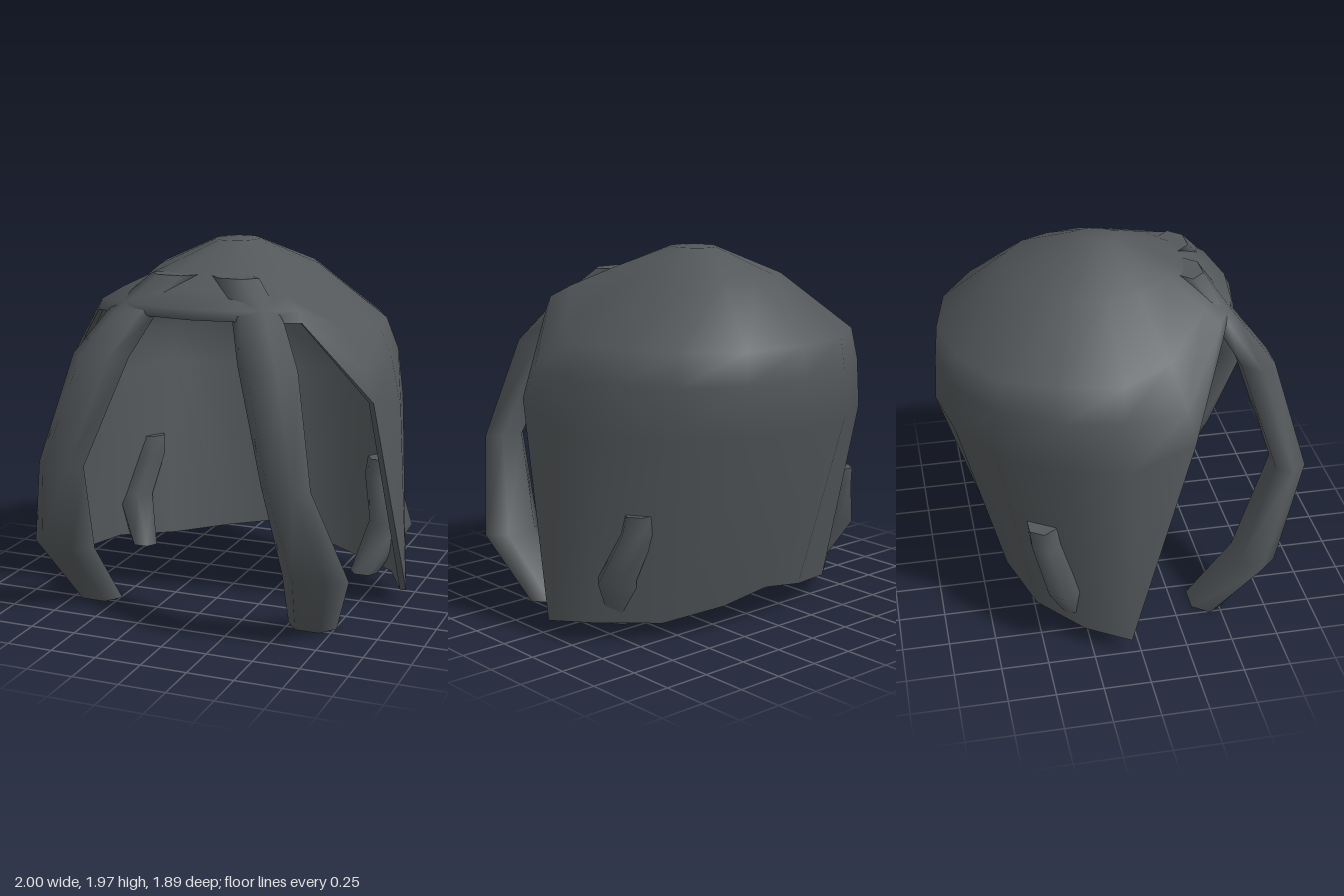
import * as THREE from 'three';
import { mergeVertices, mergeGeometries } from 'three/addons/utils/BufferGeometryUtils.js';

const shellGrey = new THREE.MeshStandardMaterial({ color: 0x53575a });

// Smooth geometry from a list of triangles, leaving out collapsed ones
function surface(triangles) {
  const positions = [];
  for (const [a, b, c] of triangles) {
    const n = b.clone().sub(a).cross(c.clone().sub(a));
    if (n.length() > 1e-7) for (const p of [a, b, c]) positions.push(p.x, p.y, p.z);
  }
  let geo = new THREE.BufferGeometry();
  geo.setAttribute('position', new THREE.Float32BufferAttribute(positions, 3));
  geo = mergeVertices(geo, 1e-4);
  geo.computeVertexNormals();
  return geo;
}

// Ribs of the left half, from the back round to the brow, each crown to rim
const ribs = [
  [[0, 1.97, -.2], [0, 1.83, -.55], [0, 1.53, -.91], [0, 1.36, -.925], [0, 1.1, -.94], [0, .19, -.65]],
  [[.05, 1.97, -.19], [.19, 1.83, -.51], [.34, 1.53, -.84], [.35, 1.36, -.86], [.35, 1.1, -.87], [.28, .14, -.62]],
  [[.09, 1.97, -.15], [.33, 1.83, -.4], [.62, 1.53, -.66], [.65, 1.36, -.68], [.66, 1.1, -.69], [.6, .09, -.5]],
  [[.11, 1.97, -.11], [.4, 1.83, -.25], [.76, 1.53, -.38], [.83, 1.36, -.38], [.87, 1.1, -.36], [.88, .1, -.28]],
  [[.12, 1.97, -.07], [.43, 1.83, -.07], [.81, 1.53, -.07], [.88, 1.37, -.07], [.94, 1.1, -.06], [1, .08, -.05]],
  [[.1, 1.97, 0], [.39, 1.83, .1], [.68, 1.57, .2], [.83, 1.36, .26], [.89, 1.2, .29]],
  [[.06, 1.97, .05], [.27, 1.85, .27], [.46, 1.75, .42], [.55, 1.69, .49], [.57, 1.63, .5]],
  [[.04, 1.97, .06], [.14, 1.86, .33], [.24, 1.76, .5], [.3, 1.69, .61], [.31, 1.63, .58]],
  [[0, 1.97, .06], [0, 1.86, .35], [0, 1.77, .52], [0, 1.69, .65], [0, 1.63, .62]],
];

// Outer skin, inner skin and the rim between them
function shellGeometry() {
  const half = ribs.map(rib => {
    const points = [[0, 1.97, -.07], ...rib];
    while (points.length < 7) points.push(points[points.length - 1]);
    return points.map(p => new THREE.Vector3(...p));
  });
  const mirrored = half.slice(1, -1).reverse()
    .map(rib => rib.map(p => new THREE.Vector3(-p.x, p.y, p.z)));
  const outer = [...half, ...mirrored];
  const inner = outer.map(rib => rib.map(p => new THREE.Vector3(
    p.x * .965, p.y > 1.7 ? p.y - .03 : p.y, -.07 + (p.z + .07) * .96)));

  const skin = (grid, flip) => {
    const tris = [];
    grid.forEach((rib, i) => {
      const next = grid[(i + 1) % grid.length];
      for (let j = 0; j < rib.length - 1; j++) {
        tris.push([rib[j], next[j], next[j + 1]], [rib[j], next[j + 1], rib[j + 1]]);
      }
    });
    return surface(flip ? tris.map(t => t.reverse()) : tris);
  };
  const rim = [];
  outer.forEach((rib, i) => {
    const k = (i + 1) % outer.length;
    rim.push([rib[6], outer[k][6], inner[i][6]], [outer[k][6], inner[k][6], inner[i][6]]);
  });
  return mergeGeometries([skin(outer, false), skin(inner, true), surface(rim)]);
}

// Six-sided tube through level sections [x, y, z, halfWidth, halfDepth], top to bottom
function tubeGeometry(sections, side) {
  const rings = sections.map(([x, y, z, w, d]) => Array.from({ length: 6 }, (_, k) => {
    const a = k * Math.PI / 3;
    return new THREE.Vector3(side * x + w * Math.cos(a), y, z + d * Math.sin(a) / .866);
  }));
  const walls = [], caps = [];
  const last = rings[rings.length - 1];
  for (let k = 0; k < 6; k++) {
    const n = (k + 1) % 6;
    for (let j = 0; j < rings.length - 1; j++) {
      const a = rings[j], b = rings[j + 1];
      walls.push([a[k], a[n], b[n]], [a[k], b[n], b[k]]);
    }
    if (k > 0 && k < 5) {
      caps.push([rings[0][0], rings[0][n], rings[0][k]], [last[0], last[k], last[n]]);
    }
  }
  return mergeGeometries([surface(walls), surface(caps)]);
}

// Guard bar in front of the opening
const barSections = [
  [.17, 1.83, .40, .13, .07],
  [.35, 1.64, .55, .14, .07],
  [.46, 1.43, .70, .16, .09],
  [.62, .87, .865, .13, .08],
  [.715, .36, .675, .18, .095],
  [.625, 0, .44, .135, .09],
];

// Short hook inside the rear wall, its elbow showing outside
const hookSections = [
  [.73, .70, -.48, .09, .07],
  [.73, .60, -.46, .10, .08],
  [.81, .35, -.39, .125, .08],
  [.69, .07, -.28, .08, .06],
];

export function createModel() {
  const model = new THREE.Group();
  const add = (name, geometry) => {
    const mesh = new THREE.Mesh(geometry, shellGrey);
    mesh.name = name;
    model.add(mesh);
  };
  add('shell', shellGeometry());
  for (const [label, side] of [['left', 1], ['right', -1]]) {
    add(label + 'GuardBar', tubeGeometry(barSections, side));
    add(label + 'InnerHook', tubeGeometry(hookSections, side));
  }
  return model;
}
